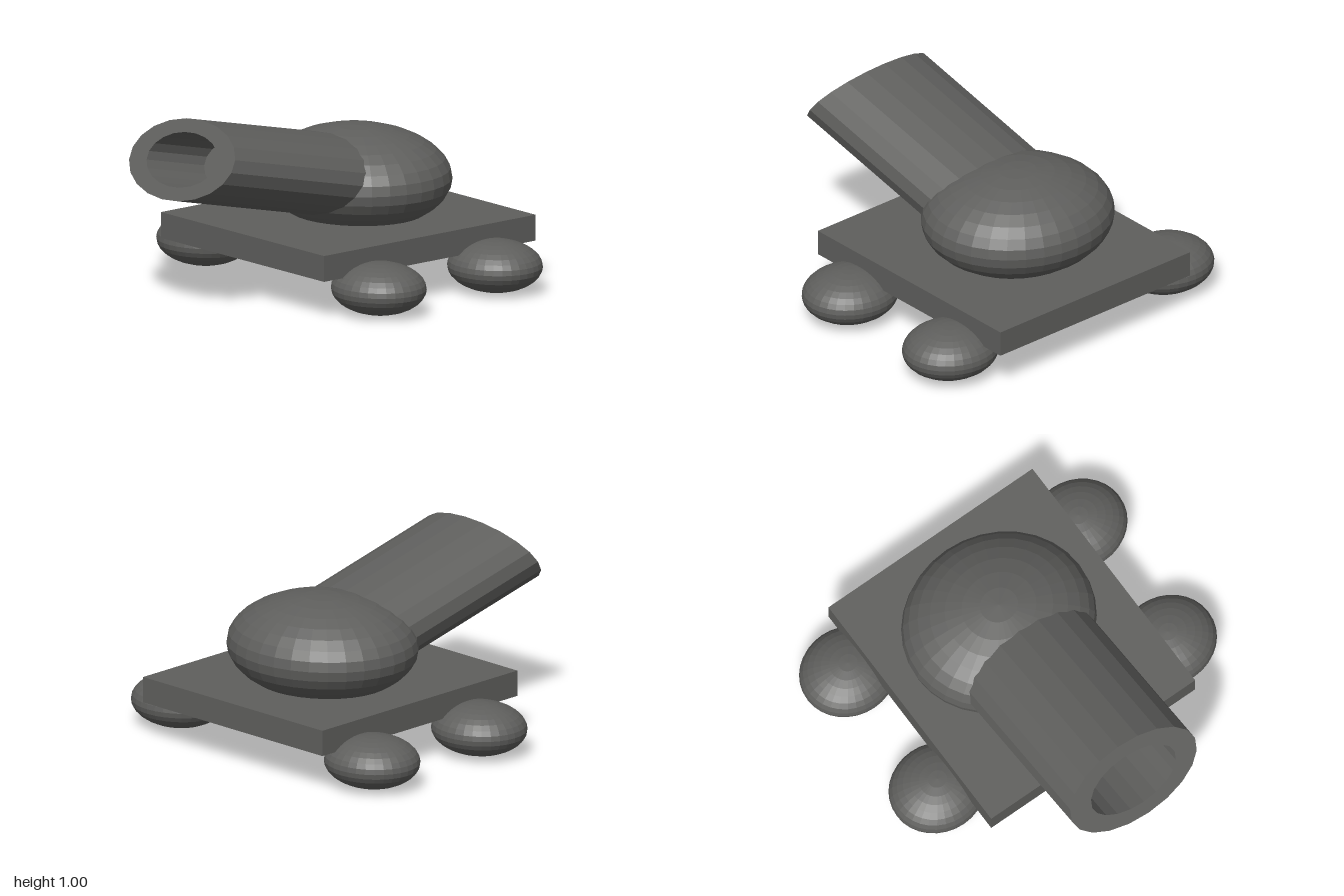
import * as THREE from 'three';

export function createModel() {
  const model = new THREE.Group();
  const material = new THREE.MeshStandardMaterial({ color: 0x5f5f5d, flatShading: true });

  const add = (name, geometry, x, y, z) => {
    const mesh = new THREE.Mesh(geometry, material);
    mesh.name = name;
    mesh.position.set(x, y, z);
    model.add(mesh);
  };
  const ellipsoid = (rx, ry, rz) => new THREE.SphereGeometry(1, 32, 16).scale(rx, ry, rz);

  // Flat chassis slab
  add('deck', new THREE.BoxGeometry(1.326, 0.14, 1.463), 0.011, 0.28, -0.268);

  // Flattened round wheels; the left pair sits slightly further forward
  for (const [side, x, shift] of [['Left', 0.734, 0.042], ['Right', -0.734, 0]]) {
    for (const [end, z] of [['front', 0.094], ['back', -0.71]]) {
      add(end + side + 'Wheel', ellipsoid(0.266, 0.138, 0.243), x, 0.138, z + shift);
    }
  }

  // Turret dome, sunk into the deck
  add('turret', ellipsoid(0.531, 0.272, 0.485), -0.014, 0.54, -0.349);

  // Barrel with a blind bore: unit profile, then skewed so the muzzle is cut at a slant
  const profile = [[0, 0], [1, 0], [1, 1], [0.67, 1], [0.67, 0.62], [0, 0.62]]
    .map(([r, h]) => new THREE.Vector2(r, h));
  const skew = new THREE.Matrix4().makeBasis(
    new THREE.Vector3(0.4, 0, 0),
    new THREE.Vector3(0, 0.243, 1.05),
    new THREE.Vector3(0, -0.192, 0.14)
  );
  add('barrel', new THREE.LatheGeometry(profile, 20).applyMatrix4(skew), -0.014, 0.565, -0.19);

  return model;
}
